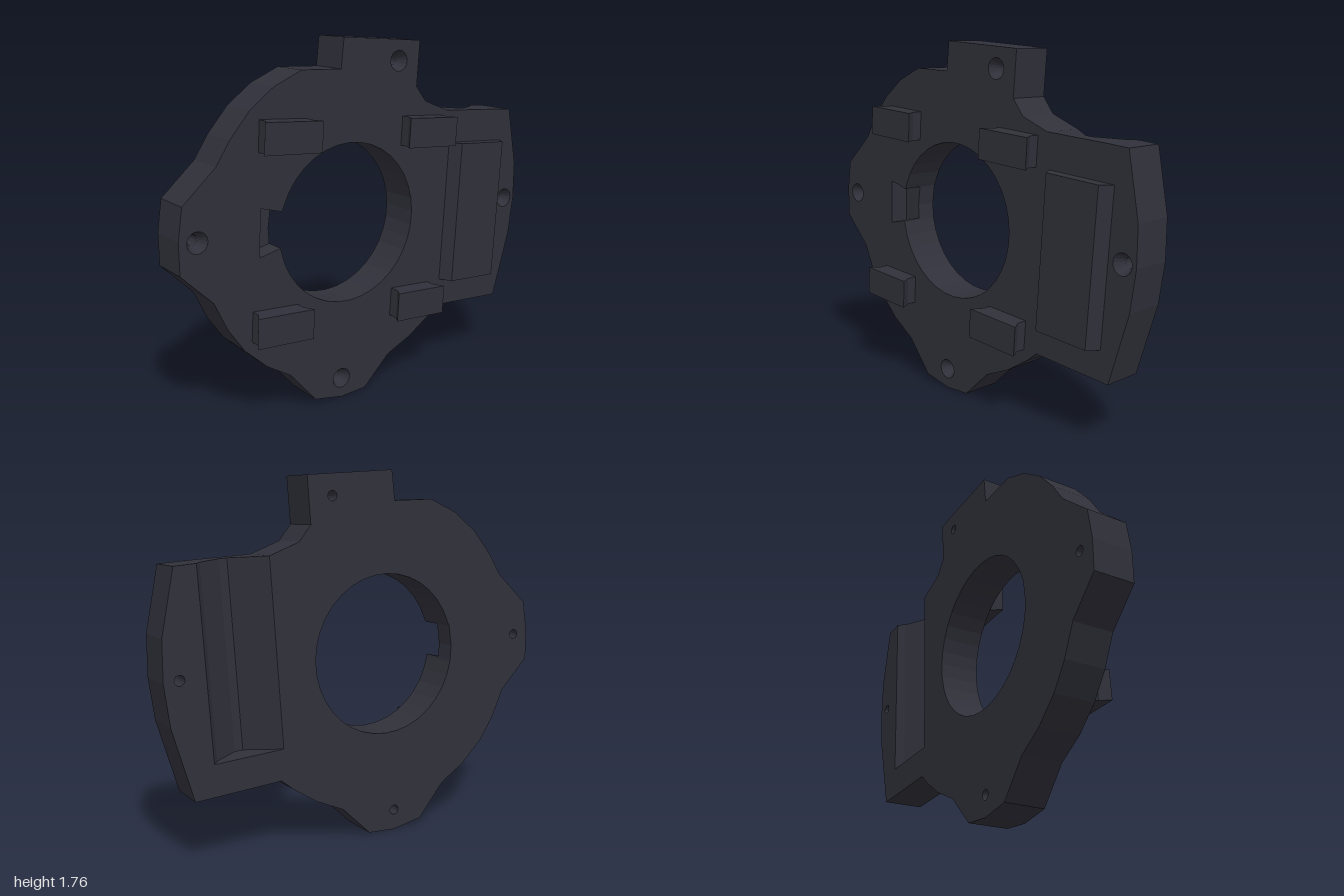
import * as THREE from 'three';

const BACK = -0.15, FACE = 0.05, TILT = -0.067;

// Slab cut from a (z, y) outline, running from x0 to x1
function slab(points, holes, x0, x1) {
  const toShape = ([z, y]) => new THREE.Vector2(-z, y);
  const shape = new THREE.Shape(points.map(toShape));
  holes.forEach(h => shape.holes.push(new THREE.Path(h.map(toShape))));
  const geo = new THREE.ExtrudeGeometry(shape, { depth: x1 - x0, bevelEnabled: false });
  return geo.translate(0, 0, x0).rotateY(Math.PI / 2);
}

// Prism with an (x, z) cross-section, running along the slightly tilted vertical
function prism(section, height) {
  const shape = new THREE.Shape(section.map(([x, z]) => new THREE.Vector2(x, -z)));
  const geo = new THREE.ExtrudeGeometry(shape, { depth: height, bevelEnabled: false });
  return geo.translate(0, 0, -height / 2).rotateX(-Math.PI / 2);
}

function ring(z, y, r, n) {
  return Array.from({ length: n }, (_, i) => {
    const a = (i / n) * Math.PI * 2;
    return [z + r * Math.sin(a), y + r * Math.cos(a)];
  });
}

export function createModel() {
  const group = new THREE.Group();
  const dark = new THREE.MeshStandardMaterial({ color: 0x30303a, flatShading: true });
  dark.name = 'charcoal';

  const add = (name, geo, z = 0, y = 0, tilt = 0) => {
    const mesh = new THREE.Mesh(geo, dark);
    mesh.name = name;
    mesh.position.set(0, y, z);
    mesh.rotation.x = tilt;
    group.add(mesh);
    return mesh;
  };

  // Plate outline, with a slot on the block that the channel insert fills
  const outline = [
    [0.14, 1.757], [-0.31, 1.725], [-0.293, 1.505], [-0.352, 1.43], [-0.486, 1.377],
    [-0.5, 1.372], [-0.441, 0.494], [-0.78, 0.471], [-0.839, 1.349],
    [-0.942, 1.34], [-1, 1.04], [-1, 0.85], [-0.973, 0.655], [-0.872, 0.315],
    [-0.454, 0.345], [-0.395, 0.297], [-0.272, 0.217], [-0.127, 0.152], [0.023, 0.008],
    [0.167, 0], [0.323, 0.03], [0.462, 0.195], [0.59, 0.275], [0.703, 0.382],
    [0.783, 0.5], [0.847, 0.64], [1, 0.794], [1, 0.944], [0.976, 1.094],
    [0.81, 1.243], [0.74, 1.35], [0.638, 1.468], [0.515, 1.56], [0.37, 1.623], [0.157, 1.615],
  ];

  // Central bore with a dovetail recess on its front (+z) side
  const recess = [[0.49, 1.0], [0.6, 1.03], [0.61, 0.805], [0.5, 0.83]];
  const bore = ring(0.116, 0.885, 0.388, 36);
  const isInRecess = ([z, y]) => z > 0.4 && y > 0.825 && y < 1.005;
  const first = bore.findIndex(isInRecess);
  const kept = bore.filter(p => !isInRecess(p));
  kept.splice(first, 0, ...recess);

  const screws = [[-0.181, 1.634], [0.912, 0.928], [-0.928, 0.858], [0.167, 0.1]];
  const screwHoles = screws.map(([z, y]) => ring(z, y, 0.05, 16));
  add('plate', slab(outline, [kept, ...screwHoles], BACK, FACE));
  add('recessFloor', slab([...recess, [0.504, 0.9]], [], BACK, -0.05));

  // Countersunk screw holes
  const sink = [[0.05, FACE], [0.024, 0], [0.024, BACK], [0.05, BACK]]
    .map(([r, h]) => new THREE.Vector2(r, h));
  screws.forEach(([z, y]) => {
    add('screwHole', new THREE.LatheGeometry(sink, 16).rotateZ(-Math.PI / 2), z, y);
  });

  // V-shaped channel on the back of the block
  add('backChannel', prism([
    [FACE, -0.17], [BACK, -0.17], [-0.11, -0.14], [-0.03, -0.02],
    [-0.03, 0.02], [BACK, 0.17], [FACE, 0.17],
  ], 0.88), -0.64, 0.9215, TILT);

  // Raised pad with sloped long sides
  add('raisedPad', prism([
    [FACE, -0.18], [0.11, -0.145], [0.11, 0.145], [FACE, 0.18],
  ], 0.723), -0.671, 0.834, TILT);

  // Four lugs that flare at the outer end
  const lug = prism([
    [FACE, -0.12], [0.1, -0.12], [0.15, -0.15], [0.15, 0.15], [0.1, 0.12], [FACE, 0.12],
  ], 0.143);
  [[0.478, 1.345], [-0.322, 1.29], [0.54, 0.479], [-0.26, 0.425]].forEach(([z, y]) => {
    add('lug', lug, z, y, TILT);
  });

  return group;
}
